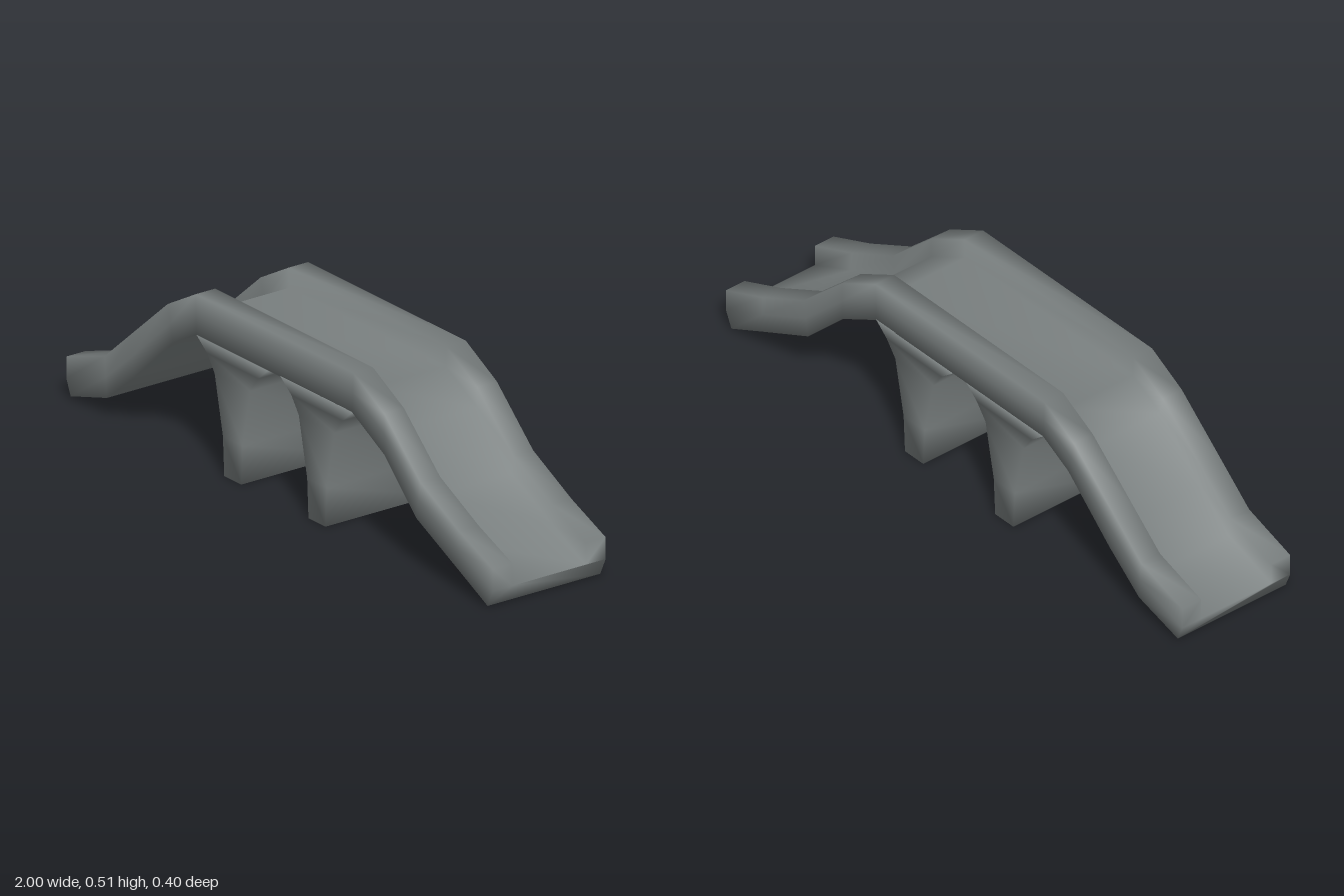
import * as THREE from 'three';

// Skin a list of equal-length rings; caps are quads of ring indices
function loft(rings, caps) {
  const n = rings[0].length;
  const last = (rings.length - 1) * n;
  const index = [];
  const quad = (a, b, c, d) => index.push(a, b, c, a, c, d);
  for (let i = 0; i < rings.length - 1; i++) {
    for (let j = 0; j < n; j++) {
      const k = (j + 1) % n;
      quad(i * n + j, (i + 1) * n + j, (i + 1) * n + k, i * n + k);
    }
  }
  for (const [a, b, c, d] of caps) {
    quad(a, b, c, d);
    quad(last + d, last + c, last + b, last + a);
  }
  const g = new THREE.BufferGeometry();
  g.setAttribute('position', new THREE.Float32BufferAttribute(rings.flat(2), 3));
  g.setIndex(index);
  g.computeVertexNormals();
  return g;
}

export function createModel() {
  const group = new THREE.Group();
  const stone = new THREE.MeshStandardMaterial({ color: 0x7a8080 });
  stone.name = 'grey stone';

  const W = 0.2;    // half width
  const IN = 0.13;  // inner face of the side walls

  // Stations along the span: top x, y, then underside x, y
  const stations = [
    [-1, 0.125, -0.98, 0.01],
    [-0.82, 0.185, -0.81, 0.06],
    [-0.7, 0.289, -0.68, 0.165],
    [-0.525, 0.44, -0.5, 0.33],
    [-0.395, 0.512, -0.39, 0.39],
    [0.345, 0.512, 0.34, 0.39],
    [0.49, 0.435, 0.49, 0.31],
    [0.66, 0.28, 0.64, 0.165],
    [0.84, 0.19, 0.84, 0.07],
    [1, 0.125, 0.975, 0.005],
  ];

  // Channel section: walkway halfway between wall top and underside
  const spanRings = stations.map(([tx, ty, bx, by], i) => {
    const end = i === 0 || i === stations.length - 1;
    const mx = end ? tx : (tx + bx) / 2;
    const my = end ? 0.058 : (ty + by) / 2;
    const b = (z) => [bx, by, z];
    const m = (z) => [mx, my, z];
    const t = (z) => [tx, ty, z];
    return [b(-W), b(W), m(W), t(W), t(IN), m(IN), m(-IN), t(-IN), t(-W), m(-W)];
  });
  const span = new THREE.Mesh(
    loft(spanRings, [[0, 1, 2, 5], [0, 5, 6, 9], [2, 3, 4, 5], [9, 6, 7, 8]]), stone);
  span.name = 'bridgeSpan';
  group.add(span);

  // Flared piers: height, left offset, right offset from the pier centre
  const pierProfile = [
    [0, -0.04, 0.04],
    [0.12, -0.046, 0.046],
    [0.3, -0.085, 0.082],
    [0.35, -0.12, 0.12],
    [0.392, -0.173, 0.168],
  ];
  const pierRings = pierProfile.map(([y, l, r]) =>
    [[l, y, -W], [r, y, -W], [r, y, W], [l, y, W]]);
  const pierGeometry = loft(pierRings, [[0, 1, 2, 3]]);
  [['rightPier', -0.22], ['leftPier', 0.175]].forEach(([name, x]) => {
    const pier = new THREE.Mesh(pierGeometry, stone);
    pier.name = name;
    pier.position.x = x;
    group.add(pier);
  });

  return group;
}
